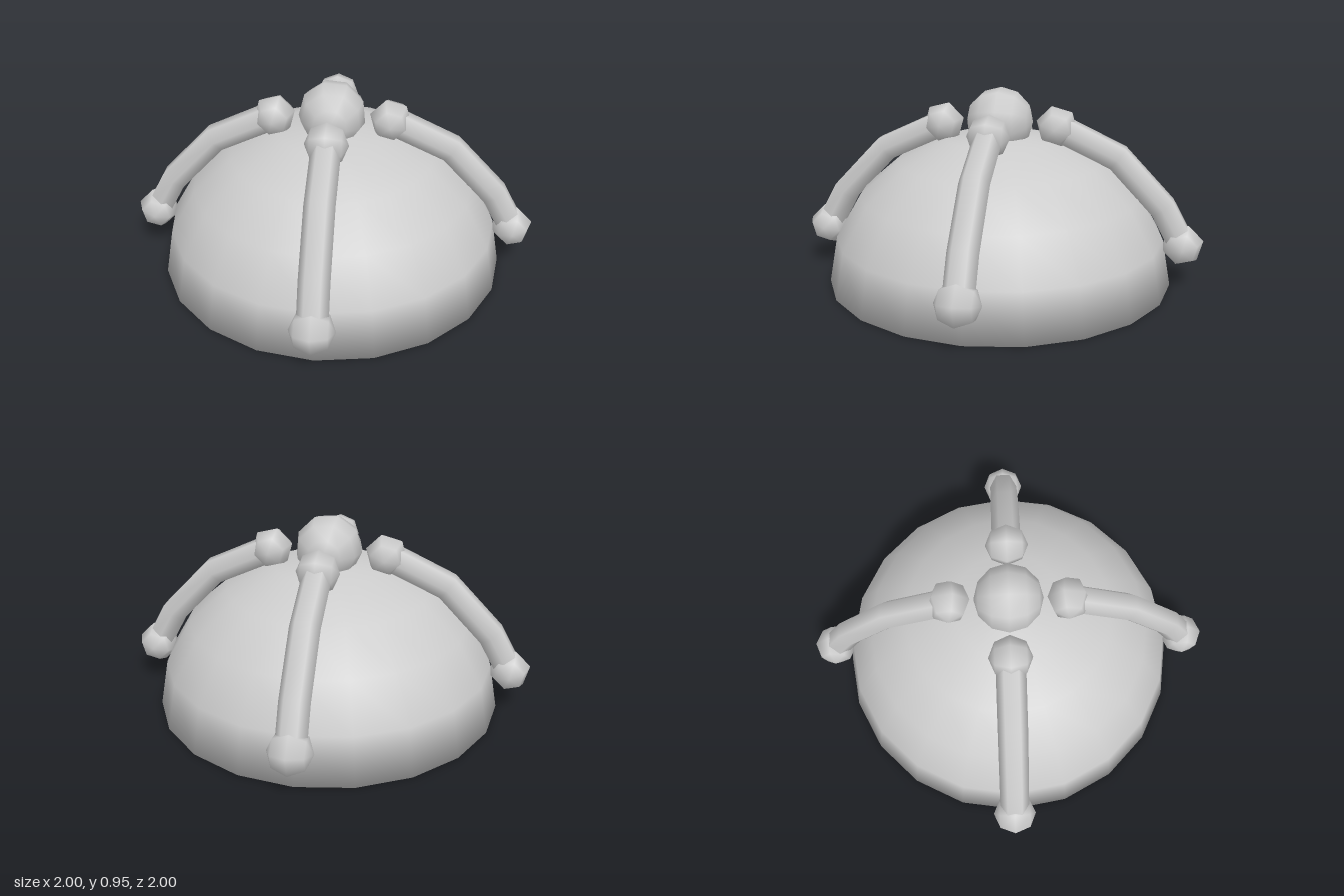
import * as THREE from 'three';

// Bent path made of straight pieces, with bisecting tangents at the bends
class BentPath extends THREE.Curve {
  constructor(points) {
    super();
    this.points = points;
  }
  getPoint(t, target = new THREE.Vector3()) {
    const n = this.points.length - 1;
    const i = Math.min(Math.floor(t * n), n - 1);
    return target.lerpVectors(this.points[i], this.points[i + 1], t * n - i);
  }
  getPointAt(u, target) { return this.getPoint(u, target); }
  getTangentAt(u, target) { return this.getTangent(u, target); }
}

export function createModel() {
  const group = new THREE.Group();
  const grey = new THREE.MeshStandardMaterial({ color: 0xcccccc });
  grey.name = 'light grey';

  const add = (parent, name, geometry, x = 0, y = 0, turn = 0) => {
    const mesh = new THREE.Mesh(geometry, grey);
    mesh.name = name;
    mesh.position.set(x, y, 0);
    mesh.rotation.z = THREE.MathUtils.degToRad(turn);
    parent.add(mesh);
    return mesh;
  };
  // Low-poly ball with its poles on the z axis
  const ballGeometry = (radius, around, rings) =>
    new THREE.SphereGeometry(radius, around, rings).rotateX(Math.PI / 2);

  // Flattened dome with twenty sides and a closed, smoothly shaded base
  const profile = [[0, 0], [0.85, 0], [0.808, 0.228], [0.688, 0.435], [0.5, 0.598], [0.263, 0.702], [0, 0.73]]
    .map(([r, y]) => new THREE.Vector2(r, y));
  add(group, 'dome', new THREE.LatheGeometry(profile, 20)).rotation.y = Math.PI / 2;

  // Ball on the crown
  add(group, 'crownBall', ballGeometry(0.163, 9, 6), 0, 0.79, -75);

  // Four bent six-sided arms, each with a ball at either end
  const path = new BentPath([[0.28, 0.77], [0.577, 0.631], [0.8, 0.395], [0.9, 0.21]]
    .map(([x, y]) => new THREE.Vector3(x, y, 0)));
  const tube = new THREE.TubeGeometry(path, 3, 0.07, 6, false);
  const ball = ballGeometry(0.103, 6, 4);
  ['leftArm', 'backArm', 'rightArm', 'frontArm'].forEach((name, i) => {
    const arm = new THREE.Group();
    arm.name = name;
    arm.rotation.y = i * Math.PI / 2;
    add(arm, 'armTube', tube);
    add(arm, 'innerBall', ball, 0.28, 0.77, 45);
    add(arm, 'outerBall', ball, 0.9, 0.21, 15);
    group.add(arm);
  });

  return group;
}
